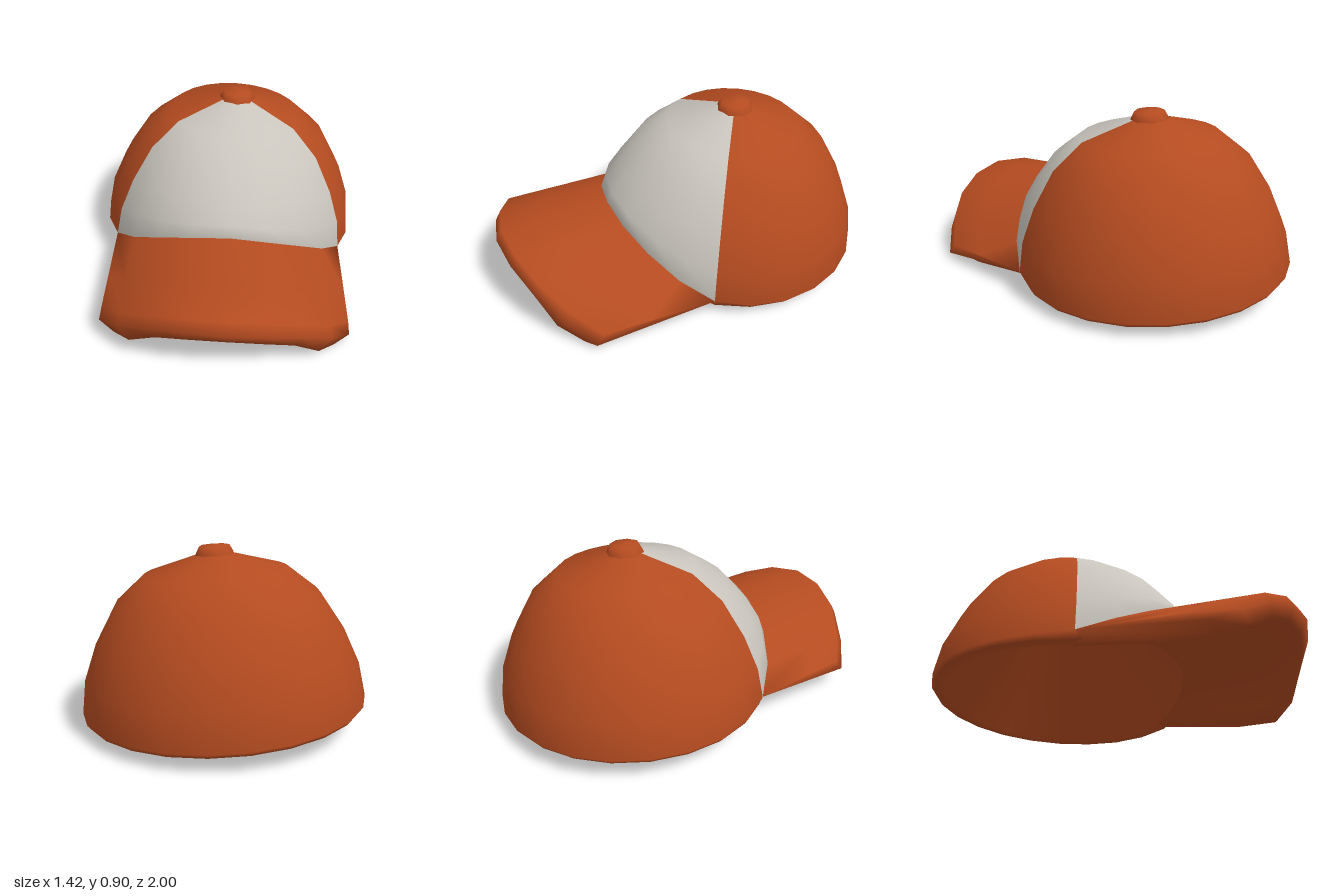
import * as THREE from 'three';

const SEG = 24;                                       // columns around the crown
const RIM = [0.43, 0.4, 0.335, 0.24, 0.15, 0.125];    // rim height, from the front every 15 degrees
const UNDER = [0.22, 0.22, 0.205, 0.16, 0.105, 0.095]; // height of the inner hem, likewise
const TOP = 0.885, BASE = 0.115, HEM = 0.09, HEM_RADIUS = 0.635;
const PROFILE = [[0, TOP], [0.355, 0.778], [0.505, 0.65], [0.615, 0.465], [0.685, 0.285], [0.712, BASE]];

function makeGeometry(points, index) {
  const g = new THREE.BufferGeometry();
  g.setAttribute('position', new THREE.Float32BufferAttribute(points.flat(), 3));
  g.setIndex(index);
  g.computeVertexNormals();
  return g;
}

// Dome with an arched front rim, a rounded hem and a tapering lining
function crownGeometry() {
  const lift = (y, rim) => y + (rim - BASE) * Math.pow((TOP - y) / (TOP - BASE), 1.9);
  const rows = [
    ...PROFILE.map(([r, y]) => [r, (rim) => lift(y, rim)]),
    [0.695, (rim, under) => under + 0.003],
    [HEM_RADIUS, (rim, under) => under + 0.005],
    [0.3, () => 0.6],
    [0, () => 0.74],
  ];
  const points = [];
  for (const [r, height] of rows) {
    for (let j = 0; j < SEG; j++) {
      const a = (j / SEG) * Math.PI * 2, m = Math.min(j, SEG - j);
      const depth = Math.cos(a) < 0 ? 0.985 : 1;
      points.push([r * Math.sin(a), height(RIM[m] ?? BASE, UNDER[m] ?? HEM), r * Math.cos(a) * depth]);
    }
  }
  const main = [], panel = [];
  for (let i = 0; i < rows.length - 1; i++) {
    for (let j = 0; j < SEG; j++) {
      const n = (j + 1) % SEG;
      const a = i * SEG + j, b = a + SEG, c = (i + 1) * SEG + n, d = i * SEG + n;
      const front = i < PROFILE.length - 1 && (j < 4 || j >= SEG - 4);
      (front ? panel : main).push(a, b, c, a, c, d);
    }
  }
  const g = makeGeometry(points, [...main, ...panel]);
  g.addGroup(0, main.length, 0);
  g.addGroup(main.length, panel.length, 1);
  return g;
}

// Curved brim: sections lofted from the right corner to the left one, open where they meet the crown
function brimGeometry() {
  const topEdge = [[0, 0.4, 1.27], [0.19, 0.377, 1.24], [0.36, 0.315, 1.17], [0.5, 0.215, 1.06], [0.61, 0.13, 0.93]];
  const midEdge = [[0, 0.34, 1.3], [0.19, 0.32, 1.27], [0.36, 0.265, 1.2], [0.51, 0.165, 1.09], [0.618, 0.078, 0.97]];
  const lowEdge = [[0, 0.272, 1.26], [0.18, 0.253, 1.24], [0.32, 0.205, 1.19], [0.45, 0.106, 1.12], [0.54, 0.042, 1.01]];
  const mix = (p, q, t, dy) => [0, 1, 2].map((k) => p[k] + (q[k] - p[k]) * t + (k === 1 ? dy : 0));
  const points = [], index = [], N = 7;
  for (let s = -4; s <= 4; s++) {
    const m = Math.abs(s), a = (m * Math.PI) / 12;
    const inTop = [0.712 * Math.sin(a), RIM[m], 0.712 * Math.cos(a)];
    const inLow = [HEM_RADIUS * Math.sin(a), UNDER[m], HEM_RADIUS * Math.cos(a)];
    const section = [
      inTop, mix(inTop, topEdge[m], 0.6, 0), topEdge[m], midEdge[m], lowEdge[m],
      mix(lowEdge[m], inLow, 0.3, -0.02), inLow,
    ];
    for (const [x, y, z] of section) points.push([x * Math.sign(s), y, z]);
  }
  for (let s = 0; s < 8; s++) {
    for (let k = 0; k < N - 1; k++) {
      const a = s * N + k, b = a + 1, c = b + N, d = a + N;
      index.push(a, b, c, a, c, d);
    }
  }
  // Rounded side ends
  for (let k = 1; k < N - 1; k++) {
    index.push(0, k + 1, k);
    index.push(8 * N, 8 * N + k, 8 * N + k + 1);
  }
  return makeGeometry(points, index);
}

export function createModel() {
  const rust = new THREE.MeshStandardMaterial({ color: 0xb44b20 });
  rust.name = 'rust fabric';
  const grey = new THREE.MeshStandardMaterial({ color: 0xc9c5bd });
  grey.name = 'light grey fabric';

  const cap = new THREE.Group();
  cap.name = 'cap';
  const add = (name, geometry, material) => {
    const mesh = new THREE.Mesh(geometry, material);
    mesh.name = name;
    cap.add(mesh);
  };

  add('crown', crownGeometry(), [rust, grey]);
  add('brim', brimGeometry(), rust);

  // Button on top
  const button = [[0.1, 0.845], [0.092, 0.868], [0.075, 0.9], [0, 0.909]];
  add('button', new THREE.LatheGeometry(button.map(([x, y]) => new THREE.Vector2(x, y)), 8), rust);

  // The cap rests slightly askew
  cap.position.set(-0.004, 0, -0.3);
  cap.rotation.set(0, -0.03, -0.063);

  const model = new THREE.Group();
  model.name = 'baseballCap';
  model.add(cap);
  return model;
}
